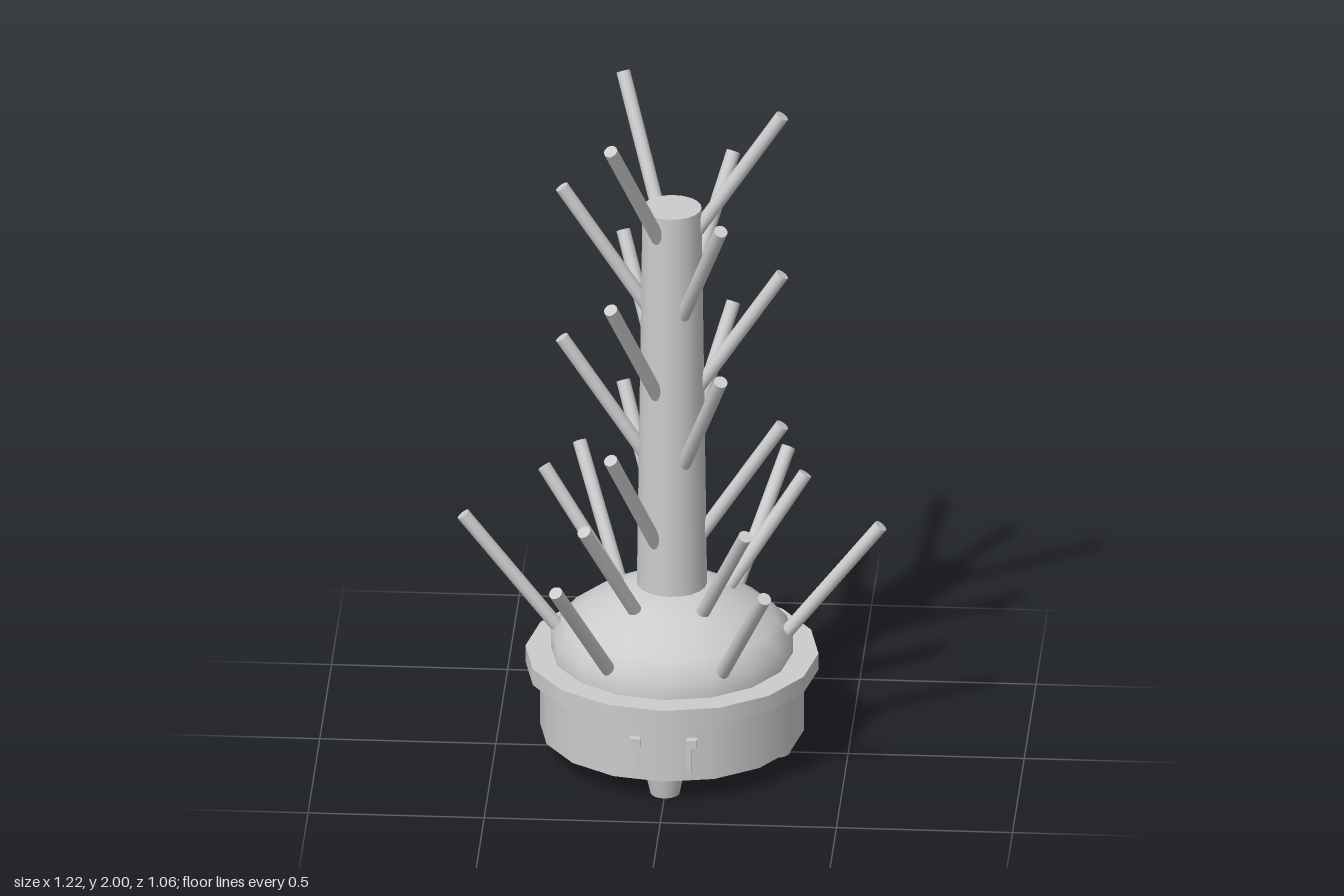
import * as THREE from 'three';

const material = new THREE.MeshStandardMaterial({ color: 0xcccccc });
const UP = new THREE.Vector3(0, 1, 0);

function add(parent, name, geometry, x = 0, y = 0, z = 0) {
  const mesh = new THREE.Mesh(geometry, material);
  mesh.name = name;
  mesh.position.set(x, y, z);
  parent.add(mesh);
  return mesh;
}

// Upright cylinder given by its bottom and top heights
function drum(parent, name, rTop, rBottom, y0, y1, sides, x = 0, z = 0) {
  return add(parent, name, new THREE.CylinderGeometry(rTop, rBottom, y1 - y0, sides), x, (y0 + y1) / 2, z);
}

// Ring of slanted pegs; start and tip are [radius, height]
function pegRing(parent, name, count, startAngle, start, tip) {
  const ring = new THREE.Group();
  ring.name = name;
  for (let i = 0; i < count; i++) {
    const a = startAngle + (i * Math.PI * 2) / count;
    const at = ([r, y]) => new THREE.Vector3(r * Math.cos(a), y, r * Math.sin(a));
    const p = at(start), q = at(tip);
    const dir = q.clone().sub(p);
    const peg = add(ring, 'peg', new THREE.CylinderGeometry(0.02, 0.02, dir.length(), 12));
    peg.position.copy(p).add(q).multiplyScalar(0.5);
    peg.quaternion.setFromUnitVectors(UP, dir.normalize());
  }
  parent.add(ring);
}

export function createModel() {
  const model = new THREE.Group();
  model.name = 'bottleDryingTree';

  // Base tub with overhanging rim
  drum(model, 'base', 0.375, 0.375, 0.07, 0.26, 16);
  drum(model, 'rim', 0.416, 0.416, 0.26, 0.31, 16);

  // Tapered feet on the four axes
  for (let i = 0; i < 4; i++) {
    const a = (i * Math.PI) / 2;
    drum(model, 'foot', 0.058, 0.042, 0, 0.075, 14, 0.295 * Math.cos(a), 0.295 * Math.sin(a));
  }

  // Domed cover
  const domeProfile = [
    [0.343, 0.3], [0.343, 0.365], [0.3, 0.412], [0.24, 0.455],
    [0.165, 0.495], [0.1, 0.52], [0, 0.525],
  ].map(([r, y]) => new THREE.Vector2(r, y));
  add(model, 'dome', new THREE.LatheGeometry(domeProfile, 16));

  // Central column
  drum(model, 'column', 0.084, 0.1, 0.5, 1.69, 20);

  // Peg rings on the dome
  pegRing(model, 'lowerPegs', 6, 0, [0.3, 0.342], [0.593, 0.714]);
  pegRing(model, 'upperDomePegs', 5, -Math.PI / 2, [0.15, 0.469], [0.39, 0.815]);

  // Column pegs, three per level, alternate levels turned half way
  [1.02, 1.275, 1.49, 1.745, 1.985].forEach((y, i) => {
    pegRing(model, 'columnPegs', 3, i % 2 ? Math.PI : 0, [0.065, y - 0.373], [0.313, y]);
  });

  // Pair of small hooks on the front of the base
  for (const side of [-1, 1]) {
    const hook = new THREE.Group();
    hook.name = 'frontHook';
    add(hook, 'hookStem', new THREE.BoxGeometry(0.014, 0.1, 0.022), side * 0.072, 0.15, 0.365);
    add(hook, 'hookHead', new THREE.BoxGeometry(0.03, 0.025, 0.026), side * 0.08, 0.19, 0.367);
    model.add(hook);
  }

  return model;
}
